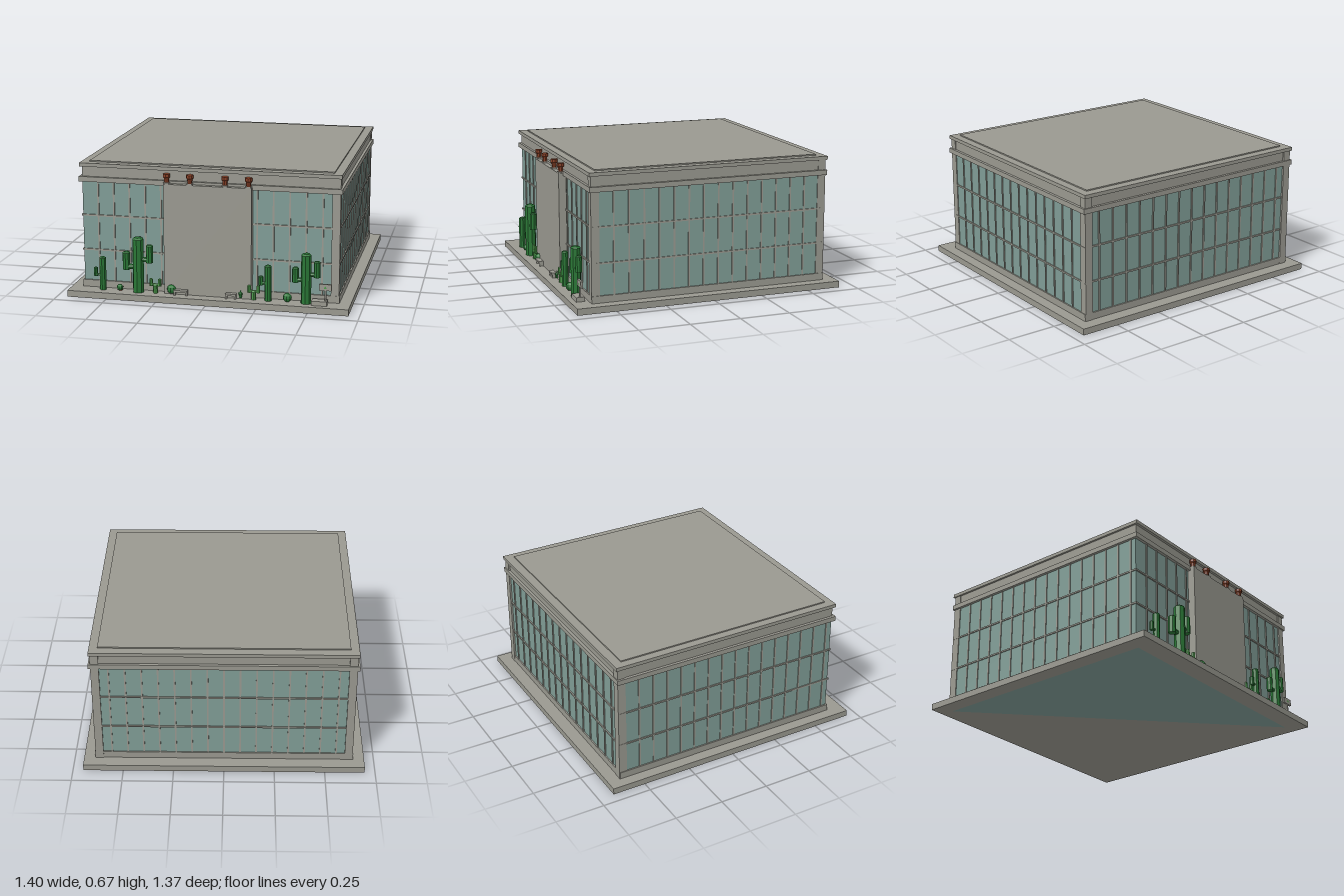
import * as THREE from 'three';

const mat = (name, color, extra) => {
  const m = new THREE.MeshStandardMaterial({ color, ...extra });
  m.name = name;
  return m;
};

export function createModel() {
  const stone = mat('stone', 0x9a9990);
  const glass = mat('glass', 0x809d96);
  const green = mat('cactusGreen', 0x2a7736, { flatShading: true });
  const light = mat('lightGreen', 0x4c9a4a, { flatShading: true });
  const clay = mat('terracotta', 0x8a4228, { flatShading: true });

  const model = new THREE.Group();
  model.name = 'greenhouse';

  const add = (name, geo, m, x, y, z, parent = model) => {
    const mesh = new THREE.Mesh(geo, m);
    mesh.name = name;
    mesh.position.set(x, y, z);
    parent.add(mesh);
    return mesh;
  };
  // box given by its minimum and maximum on each axis
  const box = (name, m, x0, x1, y0, y1, z0, z1, parent = model) =>
    add(name, new THREE.BoxGeometry(x1 - x0, y1 - y0, z1 - z0), m,
      (x0 + x1) / 2, (y0 + y1) / 2, (z0 + z1) / 2, parent);

  // Ground slab and the half of the glass floor showing under it
  box('baseSlab', stone, -0.698, 0.698, 0.001, 0.033, -0.67, 0.695);
  const floor = new THREE.Shape([[-0.62, -0.6], [-0.62, 0.6], [0.62, -0.6]]
    .map(([x, y]) => new THREE.Vector2(x, y)));
  const under = add('floorUnderside', new THREE.ShapeGeometry(floor), glass, 0, 0, 0);
  under.rotation.x = Math.PI / 2;
  under.scale.y = -1;
  glass.side = THREE.DoubleSide;

  // Body
  box('plinth', stone, -0.643, 0.643, 0.03, 0.068, -0.605, 0.608);
  box('glassWalls', glass, -0.636, 0.636, 0.06, 0.58, -0.598, 0.6);
  for (const [sx, sz] of [[1, 1], [1, -1], [-1, -1]]) {
    const x = sx * 0.62, z = sz * 0.588;
    box('cornerPillar', stone, x - 0.02, x + 0.02, 0.03, 0.65, z - 0.019, z + 0.019);
  }

  // Window bars
  const n = 16, t = 0.004;
  const bars = new THREE.Group();
  bars.name = 'windowBars';
  model.add(bars);
  for (let i = 1; i < n; i++) {
    const x = -0.636 + (1.272 * i) / n;
    box('backBar', stone, x - t, x + t, 0.06, 0.58, -0.603, -0.595, bars);
    if (Math.abs(x) > 0.215) box('frontBar', stone, x - t, x + t, 0.06, 0.58, 0.597, 0.605, bars);
  }
  for (let i = 0; i <= 15; i++) {
    const z = -0.57 + 0.076 * i;
    for (const s of [-1, 1]) box('sideBar', stone, s * 0.636 - t, s * 0.636 + t, 0.06, 0.58, z - t, z + t, bars);
  }
  for (const y of [0.225, 0.4])
    box('crossRail', stone, -0.641, 0.641, y - t, y + t, -0.604, 0.606, bars);

  // Cornice, frieze, cap and roof panel
  box('cornice', stone, -0.65, 0.65, 0.57, 0.595, -0.612, 0.615);
  box('frieze', stone, -0.636, 0.636, 0.59, 0.65, -0.598, 0.602);
  box('roofCap', stone, -0.646, 0.646, 0.645, 0.663, -0.615, 0.615);
  box('roofPanel', stone, -0.605, 0.605, 0.66, 0.669, -0.57, 0.575);

  // Entrance block with pots on its ledge
  box('entranceBlock', stone, -0.217, 0.217, 0.03, 0.583, 0.55, 0.638);
  const potGeo = new THREE.LatheGeometry([[0, 0], [0.011, 0], [0.013, 0.024], [0.018, 0.03],
    [0.018, 0.045], [0, 0.045]].map(([x, y]) => new THREE.Vector2(x, y)), 8);
  for (const x of [-0.203, -0.088, 0.085, 0.2]) {
    box('potStand', stone, x - 0.014, x + 0.014, 0.58, 0.59, 0.605, 0.637);
    add('pot', potGeo, clay, x, 0.586, 0.622);
  }

  // Cacti: trunk plus arms [offset, bottom, top, radius]
  const column = (r, y0, y1, m, x, z, parent, name) => {
    const c = r * 0.3;
    const pts = [[0, y0], [r, y0], [r, y1 - c], [r * 0.65, y1], [0, y1]]
      .map(([a, b]) => new THREE.Vector2(a, b));
    add(name, new THREE.LatheGeometry(pts, 8), m, x, 0, z, parent);
  };
  const cactus = (x, top, r, arms = [], m = green, z = 0.637) => {
    const g = new THREE.Group();
    g.name = 'cactus';
    g.position.set(x, 0, z);
    model.add(g);
    column(r, 0.033, top, m, 0, 0, g, 'trunk');
    for (const [dx, y0, y1, ar] of arms) {
      column(ar, y0, y1, m, dx, 0, g, 'arm');
      const elbow = add('elbow', new THREE.CylinderGeometry(ar * 0.7, ar * 0.7, Math.abs(dx), 8),
        m, dx / 2, y0 + ar * 0.8, 0, g);
      elbow.rotation.z = Math.PI / 2;
    }
  };
  cactus(-0.53, 0.2, 0.017, [[-0.036, 0.1, 0.145, 0.01]]);
  cactus(-0.348, 0.31, 0.028, [[-0.06, 0.145, 0.235, 0.019], [0.058, 0.185, 0.275, 0.018]]);
  cactus(0.3, 0.21, 0.017, [[-0.035, 0.11, 0.155, 0.012]]);
  cactus(0.485, 0.28, 0.025, [[-0.052, 0.135, 0.21, 0.016], [0.052, 0.165, 0.245, 0.016]]);
  for (const x of [-0.262, 0.23])
    cactus(x, 0.075, 0.012, [[-0.022, 0.068, 0.105, 0.009], [0.022, 0.068, 0.105, 0.009]], light);

  // Round cacti and sprouts
  for (const [x, y, r] of [[-0.443, 0.05, 0.016], [-0.18, 0.058, 0.023], [0.395, 0.056, 0.022], [0.165, 0.058, 0.01]])
    add('roundCactus', new THREE.SphereGeometry(r, 8, 6), green, x, y, 0.64);
  add('sprout', new THREE.ConeGeometry(0.009, 0.04, 6), green, 0.165, 0.06, 0.64);
  add('smallPot', new THREE.CylinderGeometry(0.014, 0.011, 0.018, 8), clay, -0.443, 0.042, 0.63);

  // Low benches and the little sign board
  const bench = (x0, x1) => {
    box('benchTop', stone, x0, x1, 0.05, 0.06, 0.635, 0.662);
    for (const x of [x0, x1 - 0.008]) box('benchLeg', stone, x, x + 0.008, 0.03, 0.052, 0.638, 0.658);
  };
  bench(-0.165, -0.097);
  bench(0.093, 0.146);
  box('signFoot', stone, 0.515, 0.59, 0.033, 0.055, 0.625, 0.668);
  box('signPost', stone, 0.576, 0.584, 0.033, 0.11, 0.642, 0.65);
  box('signBoard', stone, 0.55, 0.61, 0.105, 0.137, 0.641, 0.651);
  add('signMark', new THREE.CircleGeometry(0.009, 3), light, 0.58, 0.12, 0.6525).rotation.z = Math.PI / 2;

  return model;
}
